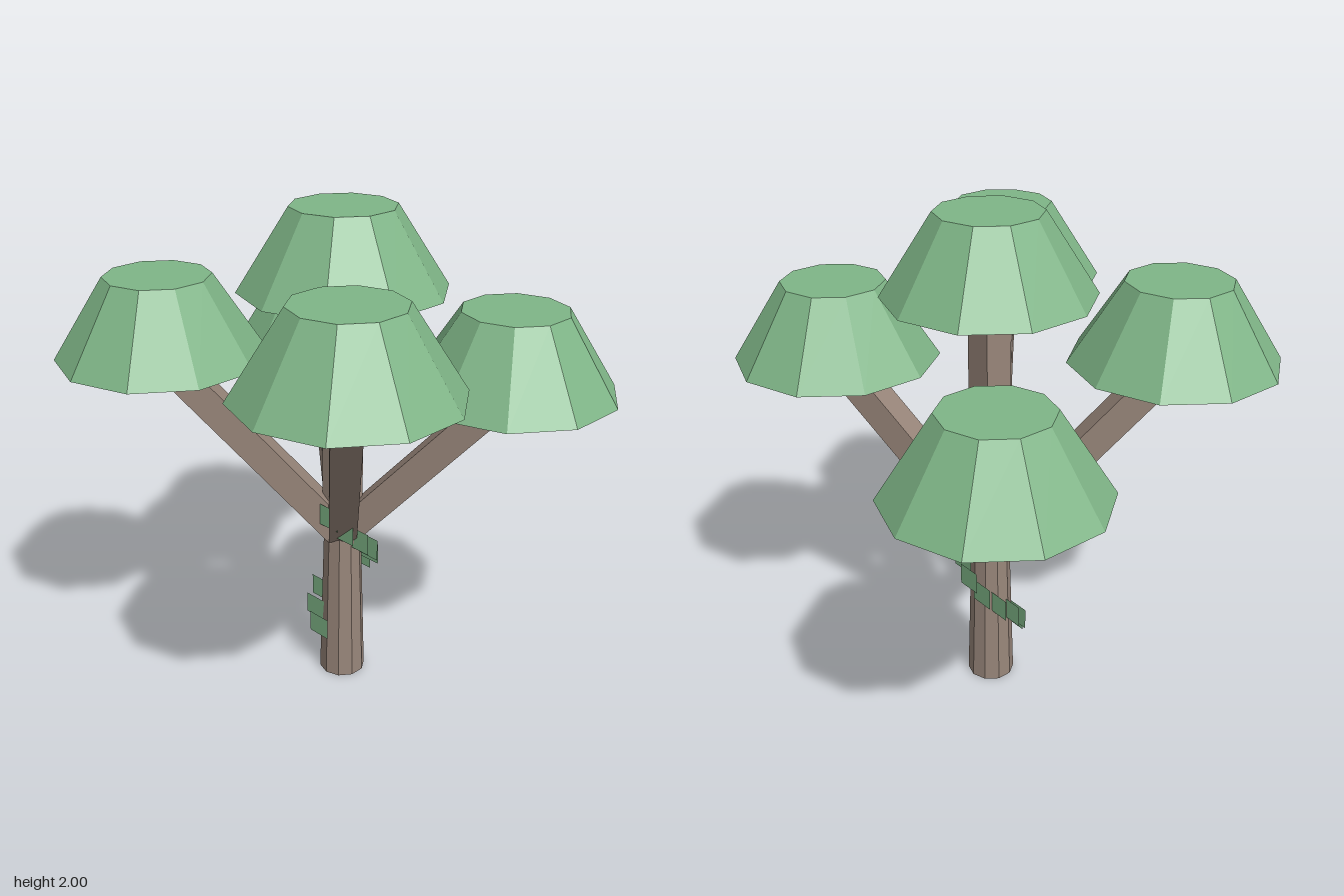
import * as THREE from 'three';

const bark = new THREE.MeshStandardMaterial({ color: 0x98867a, flatShading: true });
bark.name = 'bark brown';
const foliage = new THREE.MeshStandardMaterial({ color: 0x7fb587, flatShading: true });
foliage.name = 'leaf green';
const vineGreen = new THREE.MeshStandardMaterial({ color: 0x7fb587, side: THREE.DoubleSide });
vineGreen.name = 'vine green';

const CX = -0.013, CZ = -0.057; // trunk axis
const TRUNK_H = 0.655;
const BRANCH = 0.114;
const CROWN_H = 0.31;

function add(parent, name, geometry, material, x, y, z) {
  const mesh = new THREE.Mesh(geometry, material);
  mesh.name = name;
  mesh.position.set(x, y, z);
  parent.add(mesh);
  return mesh;
}

// Square beam from a to b, with its lower edge kept level
function addBranch(parent, a, b) {
  const dir = b.clone().sub(a);
  const length = dir.length();
  dir.normalize();
  const out = new THREE.Vector3(dir.x, 0, dir.z);
  if (out.length() < 1e-4) out.set(0, 0, 1);
  out.normalize();
  const side = new THREE.Vector3(0, 1, 0).cross(out).normalize();
  const depth = side.clone().cross(dir);
  const mid = a.clone().add(b).multiplyScalar(0.5);
  const mesh = add(parent, 'branch', new THREE.BoxGeometry(BRANCH, length, BRANCH), bark, mid.x, mid.y, mid.z);
  mesh.quaternion.setFromRotationMatrix(new THREE.Matrix4().makeBasis(side, dir, depth));
}

export function createModel() {
  const tree = new THREE.Group();
  tree.name = 'tree';

  // Tapered trunk
  add(tree, 'trunk', new THREE.CylinderGeometry(0.077, 0.096, TRUNK_H, 10), bark, CX, TRUNK_H / 2, CZ);

  // Each branch ends at the underside centre of its crown
  const crowns = [
    [CX, 1.69, CZ],
    [-0.55, 1.24, -0.463],
    [0.547, 1.355, -0.373],
    [-0.46, 1.443, 0.46],
    [0.482, 1.535, 0.412],
  ];
  const crownGeometry = new THREE.CylinderGeometry(0.202, 0.402, CROWN_H, 10);
  const fork = new THREE.Vector3(CX, TRUNK_H, CZ);
  for (const [x, y, z] of crowns) {
    addBranch(tree, fork, new THREE.Vector3(x, y, z));
    add(tree, 'crown', crownGeometry, foliage, x, y + CROWN_H / 2, z);
  }

  // Vine of flat leaves spiralling up the trunk
  const vine = new THREE.Group();
  vine.name = 'vine';
  tree.add(vine);
  const leafGeometry = new THREE.PlaneGeometry(0.104, 0.092);
  for (let i = 0; i < 11; i++) {
    const angle = THREE.MathUtils.degToRad(15 + 33 * i);
    add(vine, 'vineLeaf', leafGeometry, vineGreen,
      CX - 0.113 * Math.sin(angle), 0.232 + 0.054 * i, CZ + 0.113 * Math.cos(angle));
  }
  return tree;
}
